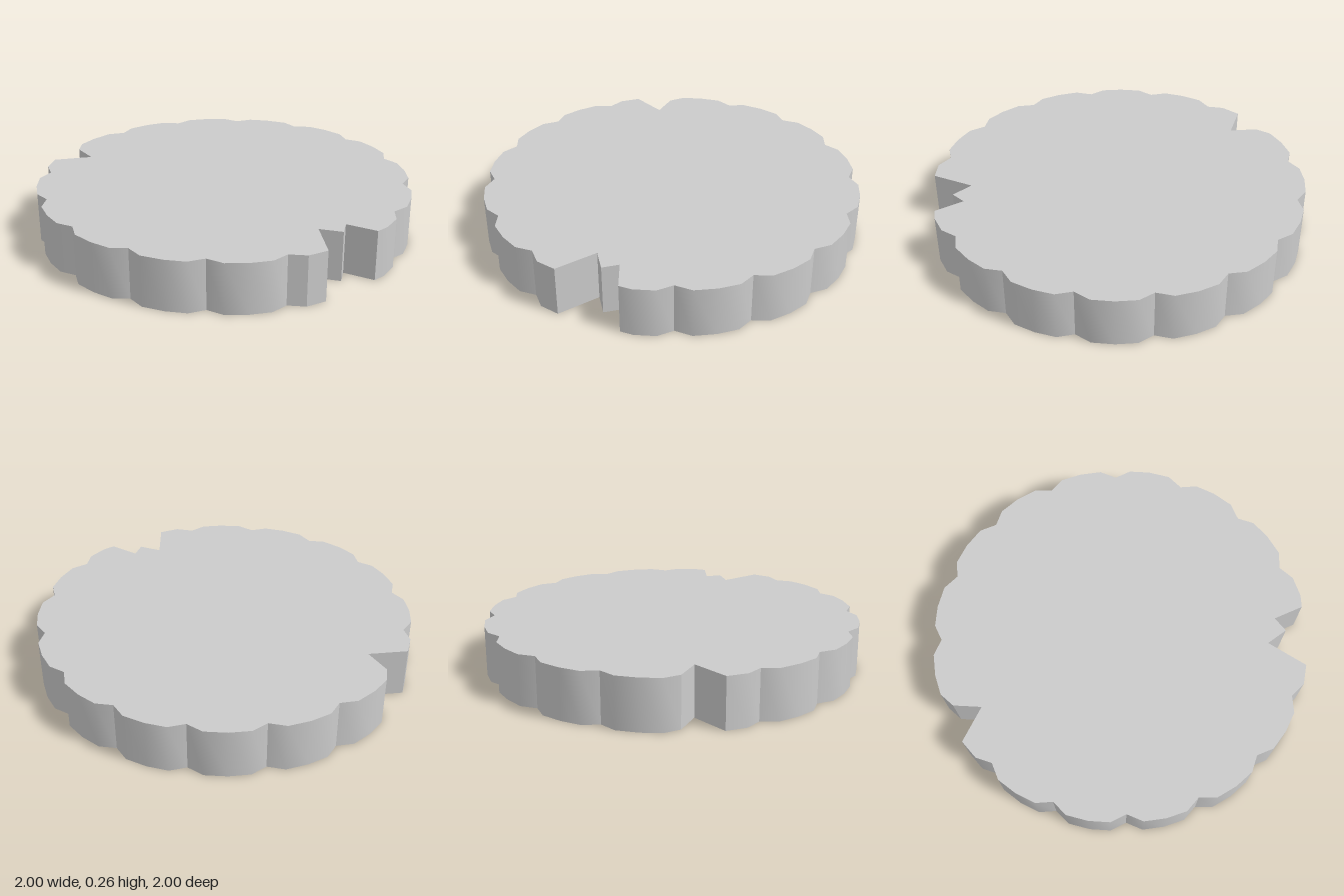
import * as THREE from 'three';
import { toCreasedNormals } from 'three/addons/utils/BufferGeometryUtils.js';

const HEIGHT = 0.265;
const LOBES = 16;

// One scallop: [degrees past its notch, radius]
const LOBE = [[0, 0.955], [4.7, 0.996], [11, 1.001], [17.6, 0.997]];

// Bites out of the rim, as [x, z] corners replacing a scallop point, keyed by "lobe:point"
const BITES = {
  '5:3': [[0.69, 0.71]],
  '6:0': [[0.55, 0.625]],
  '6:1': [[0.525, 0.71], [0.41, 0.67]],
  '6:2': [[0.42, 0.9]],
  '12:3': [[-0.74, -0.365]],
};

// Scalloped outline running clockwise from the back
function rimOutline() {
  const points = [];
  for (let lobe = 0; lobe < LOBES; lobe++) {
    LOBE.forEach(([offset, radius], i) => {
      const bite = BITES[`${lobe}:${i}`];
      if (bite) {
        bite.forEach(([x, z]) => points.push(new THREE.Vector2(x, -z)));
        return;
      }
      const a = THREE.MathUtils.degToRad(8.5 + (lobe * 360) / LOBES + offset);
      points.push(new THREE.Vector2(Math.sin(a) * radius, Math.cos(a) * radius));
    });
  }
  return points;
}

export function createModel() {
  const group = new THREE.Group();
  group.name = 'scallopedDisc';

  // Flat disc, smooth across each scallop and sharp at notches and edges
  const geometry = new THREE.ExtrudeGeometry(new THREE.Shape(rimOutline()), {
    depth: HEIGHT,
    bevelEnabled: false,
  });
  geometry.rotateX(-Math.PI / 2);

  const disc = new THREE.Mesh(
    toCreasedNormals(geometry, THREE.MathUtils.degToRad(34)),
    new THREE.MeshStandardMaterial({ color: 0xcccccc })
  );
  disc.name = 'disc';
  group.add(disc);
  return group;
}
